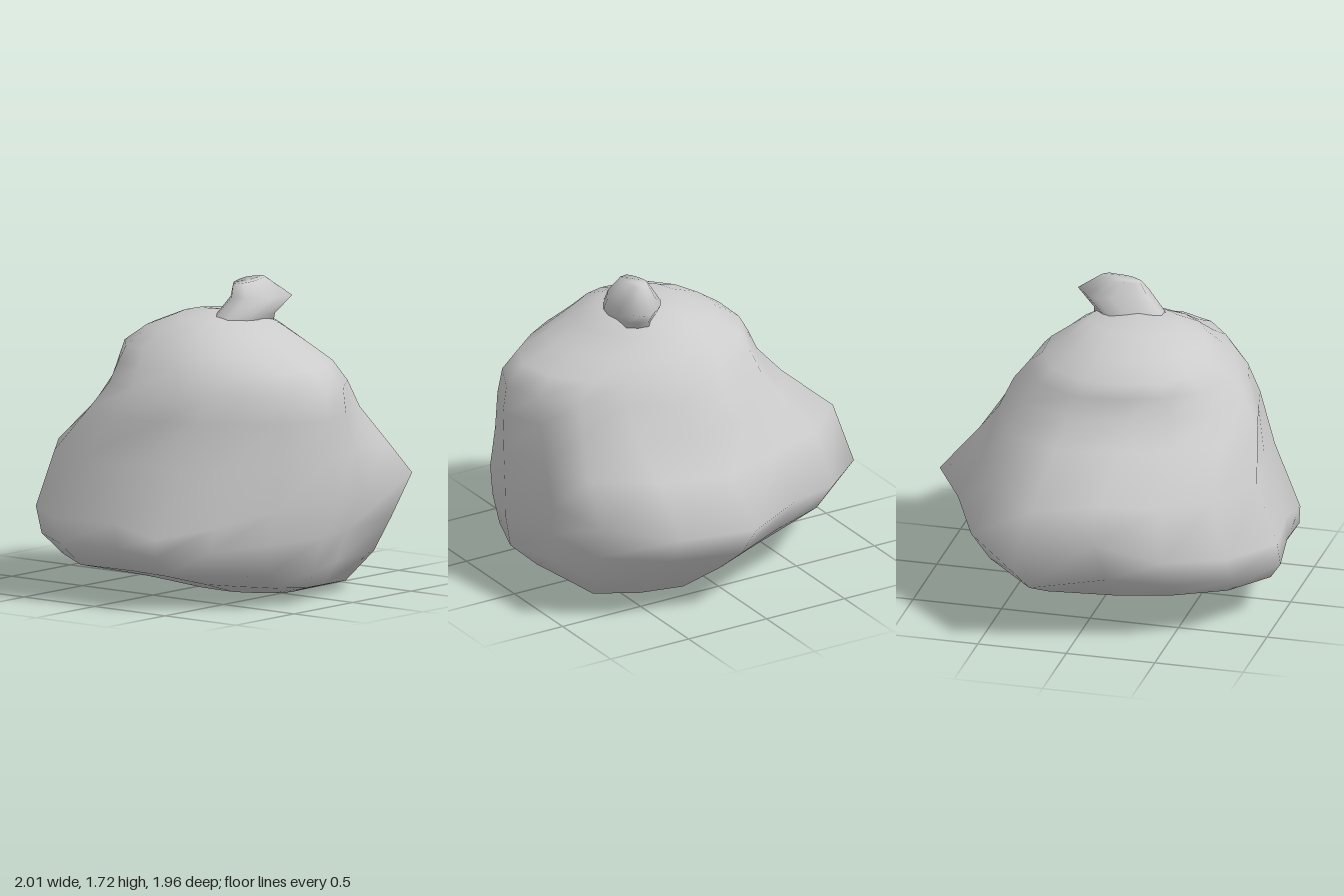
import * as THREE from 'three';

// Lumpy footprint of the sack: x, z and height of the widest point of each fold
const OUTLINE = [
  [1, 0.06, 0.55], [0.89, 0.47, 0.54], [0.68, 0.86, 0.62], [0.22, 0.89, 0.58],
  [-0.13, 0.98, 0.58], [-0.48, 0.86, 0.55], [-0.73, 0.63, 0.46], [-0.95, 0.39, 0.4],
  [-0.95, 0.1, 0.46], [-1, -0.28, 0.46], [-0.79, -0.59, 0.47], [-0.48, -0.79, 0.5],
  [-0.13, -0.92, 0.62], [0.32, -0.98, 0.45], [0.63, -0.66, 0.5], [0.8, -0.3, 0.55],
];

// Fit the footprint into xMin..xMax, zMin..zMax at height y(x, z, fold);
// round = 1 turns it into an ellipse, skew swells the back +x corner and
// draws in the front +x corner
function ring(xMin, xMax, zMin, zMax, y, round = 0, skew = 0) {
  return OUTLINE.map(([ox, oz, oy]) => {
    const a = Math.atan2(oz, ox), c = Math.cos(a), s = Math.sin(a);
    const mix = THREE.MathUtils.lerp;
    const push = -skew * Math.sin(2 * a) * (0.3 + c);
    const x = (xMin + xMax) / 2 + mix(ox, c, round) * (xMax - xMin) / 2 + push * c;
    const z = (zMin + zMax) / 2 + mix(oz / 0.98, s, round) * (zMax - zMin) / 2 + push * s;
    return [x, typeof y === 'function' ? y(x, z, oy) : y, z];
  });
}

// Smooth closed skin over a stack of rings, bottom to top
function skin(rings, bottomY, topY) {
  const n = OUTLINE.length, pos = rings.flat(2), idx = [];
  const centre = (r, y) => {
    pos.push(r.reduce((s, p) => s + p[0], 0) / n, y, r.reduce((s, p) => s + p[2], 0) / n);
    return pos.length / 3 - 1;
  };
  const last = rings.length - 1;
  const bottom = centre(rings[0], bottomY), top = centre(rings[last], topY);
  for (let j = 0; j < n; j++) {
    const k = (j + 1) % n;
    idx.push(bottom, j, k, top, last * n + k, last * n + j);
    for (let i = 0; i < last; i++) {
      const a = i * n + j, b = i * n + k;
      idx.push(a, a + n, b, b, a + n, b + n);
    }
  }
  const g = new THREE.BufferGeometry();
  g.setAttribute('position', new THREE.Float32BufferAttribute(pos, 3));
  g.setIndex(idx);
  g.computeVertexNormals();
  return g;
}

export function createModel() {
  const group = new THREE.Group();
  group.name = 'tiedSack';
  const material = new THREE.MeshStandardMaterial({ color: 0xcccccc, side: THREE.DoubleSide });
  const add = (name, geometry) => {
    const mesh = new THREE.Mesh(geometry, material);
    mesh.name = name;
    group.add(mesh);
  };

  // Sagging body: rounded tilted base, pointed folds at the widest part, domed shoulders
  add('sackBody', skin([
    ring(-0.25, 0.36, -0.1, 0.55, (x, z) => 0.02 - 0.03 * x - 0.02 * z, 0.5),
    ring(-0.6, 0.5, -0.4, 0.78, (x, z) => 0.09 - 0.06 * x - 0.03 * z, 0.3),
    ring(-0.92, 0.73, -0.74, 0.9, (x, z) => 0.22 + 0.02 * x - 0.03 * z, 0, 0.03),
    ring(-1, 0.87, -0.89, 0.94, (x, z, y) => 0.34 + (y - 0.5) * 0.4, 0, 0.02),
    ring(-1, 1, -0.98, 0.98, (x, z, y) => y),
    ring(-0.86, 0.79, -0.89, 0.98, (x, z, y) => 0.79 + (y - 0.52) * 0.3, 0.1, 0.04),
    ring(-0.79, 0.65, -0.58, 0.97, 1.02, 0.3, 0.12),
    ring(-0.71, 0.55, -0.46, 0.95, 1.17, 0.6, 0.11),
    ring(-0.64, 0.47, -0.43, 0.85, 1.28, 0.7, 0.08),
    ring(-0.57, 0.4, -0.41, 0.66, 1.36, 0.9, 0.03),
    ring(-0.48, 0.28, -0.27, 0.49, 1.45, 1),
    ring(-0.34, 0.18, -0.09, 0.38, (x, z) => 1.52 - 0.05 * z, 1),
  ], 0, 1.55));

  // Twisted knot leaning to one side, its neck sunk into the sack
  add('knot', skin([
    ring(-0.26, 0.17, 0.08, 0.36, 1.42),
    ring(-0.22, 0.18, 0.12, 0.37, 1.52),
    ring(-0.12, 0.28, 0.15, 0.41, (x) => 1.62 - 0.04 * x),
    ring(-0.09, 0.14, 0.19, 0.3, (x) => 1.705 + 0.08 * x),
  ], 1.4, 1.7));

  return group;
}
